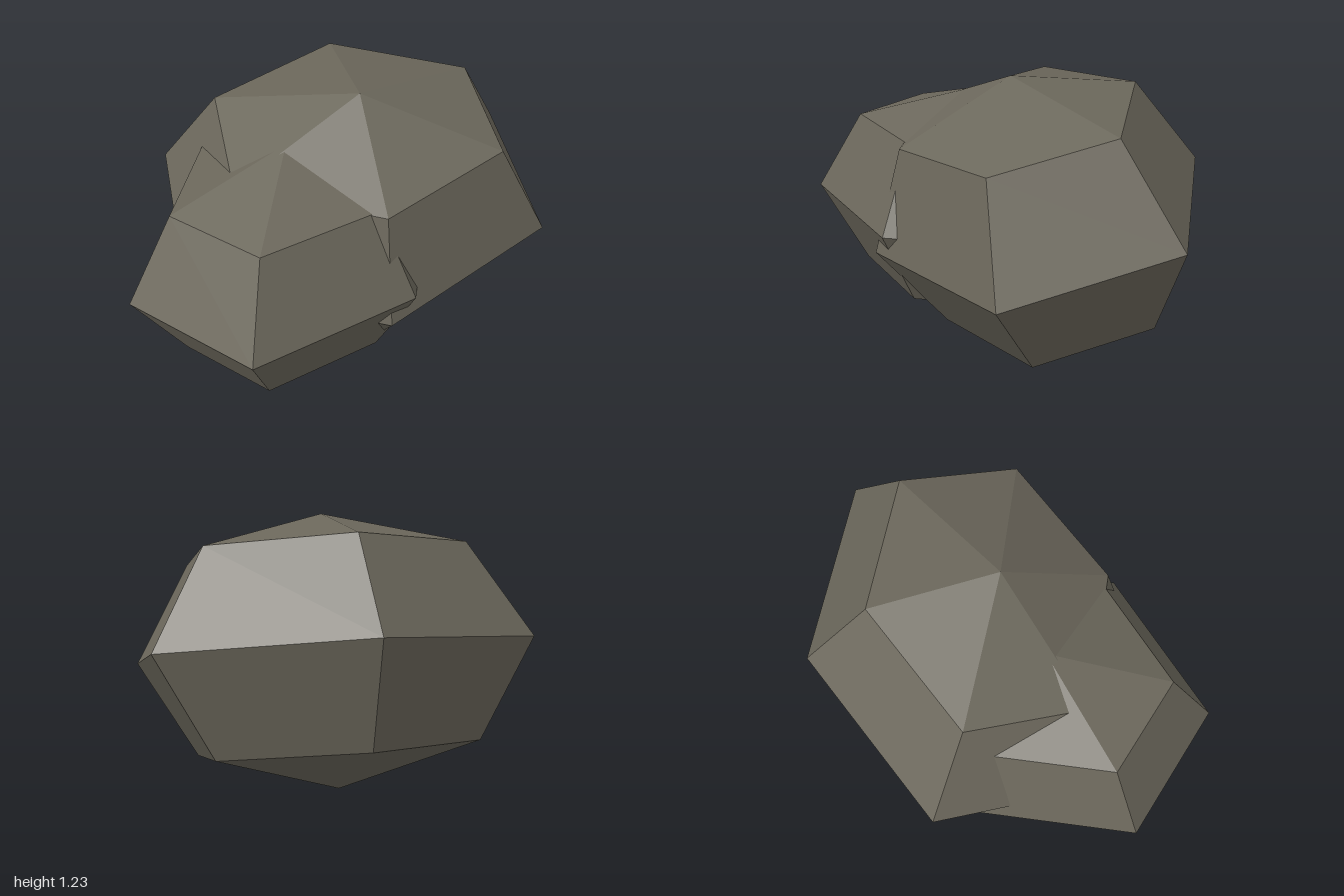
import * as THREE from 'three';

const stone = new THREE.MeshStandardMaterial({ color: 0x6b675b, flatShading: true });
stone.name = 'stone grey';

// Six-sided boulder: a coarse sphere stretched along three half-axes
function boulder(name, center, right, up, front) {
  const v = (a) => new THREE.Vector3(...a);
  const matrix = new THREE.Matrix4().makeBasis(v(right), v(up), v(front)).setPosition(v(center));
  const geometry = new THREE.SphereGeometry(1, 6, 4).toNonIndexed();
  geometry.applyMatrix4(matrix);
  geometry.computeVertexNormals();
  const mesh = new THREE.Mesh(geometry, stone);
  mesh.name = name;
  return mesh;
}

export function createModel() {
  const group = new THREE.Group();
  group.name = 'rock';
  // Large tilted boulder at the back
  group.add(boulder('largeBoulder', [0, 0.615, -0.13],
    [0.847, -0.085, -0.35], [0.1, 0.615, 0.09], [0.147, -0.147, 0.803]));
  // Smaller upright boulder pushed into its front
  group.add(boulder('smallBoulder', [-0.055, 0.555, 0.285],
    [0.662, 0.007, 0.01], [-0.004, 0.537, 0], [0, 0, 0.816]));
  return group;
}
